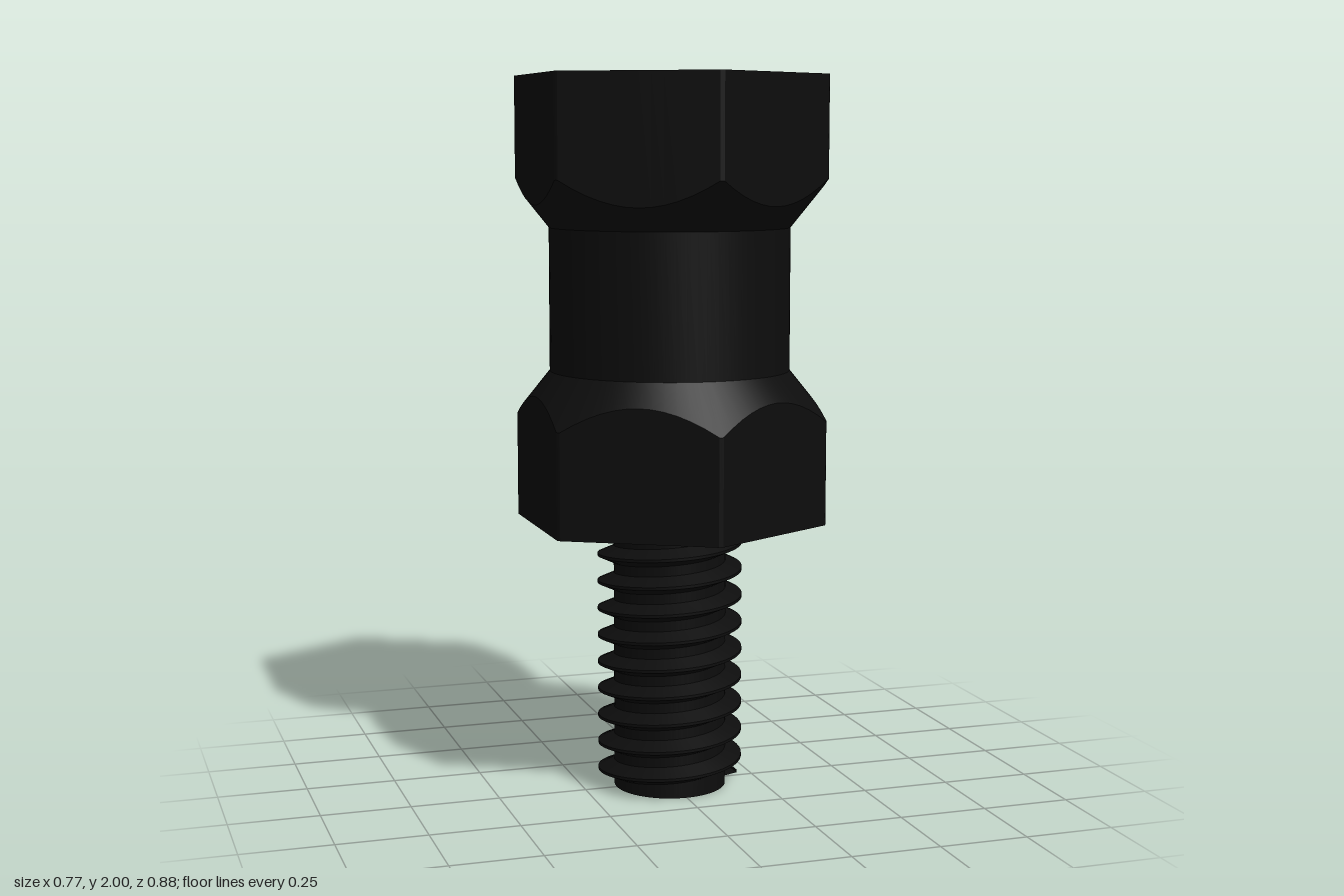
import * as THREE from 'three';
import { toCreasedNormals } from 'three/addons/utils/BufferGeometryUtils.js';

const PITCH = 0.0775;
const APOTHEM = 0.385, CORNER = 0.4415, NECK = 0.334, CONE = 1.25;
const rad = THREE.MathUtils.degToRad;

// Skins a row of columns; each column lists [radius, y] at its own angle.
function skin(angles, column) {
  const pos = [], index = [];
  let n = 0;
  angles.forEach((a, i) => {
    const pts = column(a);
    n = pts.length;
    for (const [r, y] of pts) pos.push(r * Math.cos(a), y, -r * Math.sin(a));
    if (i === 0) return;
    for (let j = 0; j < n - 1; j++) {
      const p = (i - 1) * n + j, q = i * n + j;
      index.push(p, p + 1, q + 1, p, q + 1, q);
    }
  });
  const g = new THREE.BufferGeometry();
  g.setAttribute('position', new THREE.Float32BufferAttribute(pos, 3));
  g.setIndex(index);
  return toCreasedNormals(g, 0.4);
}

// Sweeps a tooth profile up a right-handed helix, trimmed between two heights.
function helix(profile, start, turns, low, high) {
  const steps = Math.round(turns * 48);
  const angles = Array.from({ length: steps + 1 }, (_, i) => (i / 48) * Math.PI * 2);
  return skin(angles, a => profile.map(([r, y]) =>
    [r, THREE.MathUtils.clamp(start + y + PITCH * a / (Math.PI * 2), low, high)]));
}

export function createModel() {
  const group = new THREE.Group();
  const material = new THREE.MeshStandardMaterial({ color: 0x0d0d0d });
  const inside = new THREE.MeshStandardMaterial({ color: 0x0d0d0d, side: THREE.DoubleSide });
  const add = (name, geometry, mat = material) => {
    const mesh = new THREE.Mesh(geometry, mat);
    mesh.name = name;
    group.add(mesh);
    return mesh;
  };

  // Hexagonal body with slightly rounded corners, coned down to a round neck
  const angles = [];
  for (let side = 0; side < 6; side++) {
    for (const d of [-30, -29.2, -25, -20, -15, -10, -5, 0, 5, 10, 15, 20, 25, 29.2]) {
      angles.push(rad(side * 60 + d));
    }
  }
  angles.push(rad(330));
  add('hexBody', skin(angles, a => {
    const side = Math.round(a / (Math.PI / 3)) * Math.PI / 3;
    const h = Math.min(APOTHEM / Math.cos(a - side), CORNER);
    const rise = CONE * (h - NECK);
    return [
      [0.19, 1.962], [0.228, 2], [h, 2],
      [h, 1.585 + rise], [NECK, 1.585],
      [NECK, 1.19], [h, 1.19 - rise],
      [h, 0.765], [0.1, 0.765],
    ];
  }));

  // Threaded hole in the top
  add('holeThread', helix(
    [[0.19, 0], [0.19, 0.0275], [0.228, 0.0525], [0.19, PITCH]],
    1.17, 11, 1.25, 1.962), inside);
  const floor = add('holeFloor', new THREE.CircleGeometry(0.23, 48));
  floor.rotation.x = -Math.PI / 2;
  floor.position.y = 1.25;

  // Stud with a sharp external thread
  const core = add('studCore', new THREE.CylinderGeometry(0.158, 0.158, 0.78, 64));
  core.position.y = 0.39;
  add('studThread', helix(
    [[0.155, 0.026], [0.204, 0.004], [0.204, -0.004], [0.155, -0.026]],
    0.012, 9.8, 0, 0.78), inside);

  return group;
}
